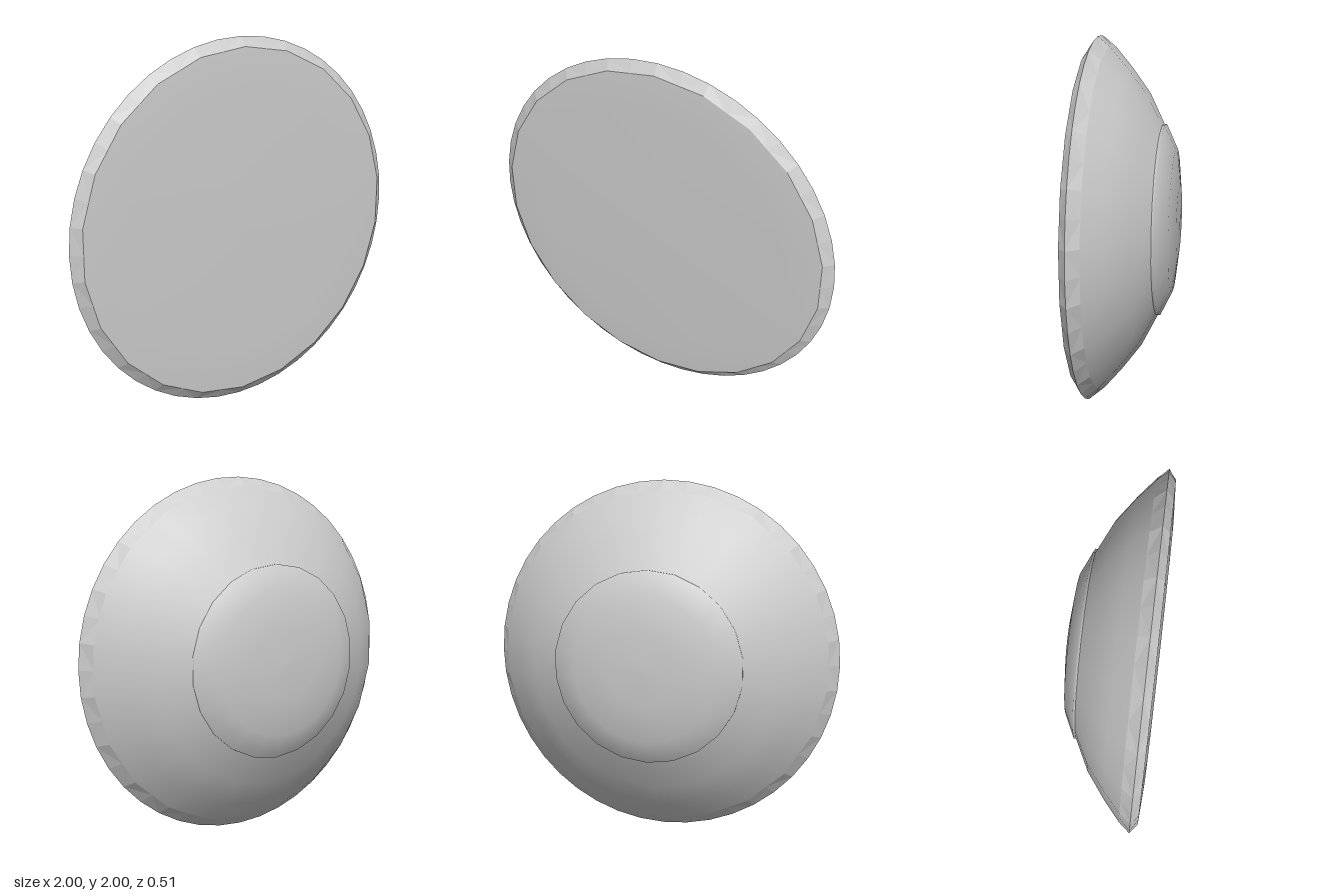
import * as THREE from 'three';

const SIDES = 22;

// Lathe around the z axis; the profile lists [radius, z] from back to front.
function turned(name, profile, material) {
  const points = profile.map(([r, z]) => new THREE.Vector2(r, z));
  const geometry = new THREE.LatheGeometry(points, SIDES);
  geometry.rotateX(Math.PI / 2);
  const mesh = new THREE.Mesh(geometry, material);
  mesh.name = name;
  return mesh;
}

// Faceted rim: the outer ring has twice the corners of the inner rings,
// whose odd points lie on the middle of each chord.
function facetedRim(material) {
  const n = SIDES * 2;
  const rows = [[0.95, 0.14, true], [1, 0.2, false], [0.95, 0.24, true]];
  const positions = [];
  const corner = (row, i) => {
    const [radius, z, chord] = rows[row];
    const r = chord && i % 2 ? radius * Math.cos(Math.PI / SIDES) : radius;
    const a = (i / n) * Math.PI * 2;
    return [r * Math.sin(a), -r * Math.cos(a), z];
  };
  for (let row = 0; row < 2; row++) {
    for (let i = 0; i < n; i++) {
      const a = corner(row, i), b = corner(row, i + 1);
      const c = corner(row + 1, i + 1), d = corner(row + 1, i);
      // alternate the diagonals for the zigzag pattern
      const tris = (i + row) % 2 ? [a, b, c, a, c, d] : [a, b, d, b, c, d];
      positions.push(...tris.flat());
    }
  }
  const geometry = new THREE.BufferGeometry();
  geometry.setAttribute('position', new THREE.Float32BufferAttribute(positions, 3));
  geometry.computeVertexNormals();
  const mesh = new THREE.Mesh(geometry, material);
  mesh.name = 'rim';
  return mesh;
}

export function createModel() {
  const smooth = new THREE.MeshStandardMaterial({ color: 0xcccccc, side: THREE.DoubleSide });
  const faceted = new THREE.MeshStandardMaterial({
    color: 0xcccccc, flatShading: true, side: THREE.DoubleSide,
  });

  const disc = new THREE.Group();
  disc.name = 'disc';
  disc.add(
    // raised cap in the middle of the back
    turned('backCap', [[0, -0.25], [0.2, -0.244], [0.4, -0.22], [0.53, -0.158], [0.53, -0.14]], smooth),
    // sloping bowl between cap and rim
    turned('backBowl', [[0.5, -0.16], [0.7, -0.06], [0.84, 0.045], [0.95, 0.14]], smooth),
    facetedRim(faceted),
    // almost flat front
    turned('frontFace', [[0.95, 0.24], [0.74, 0.252], [0, 0.256]], smooth),
  );
  disc.position.y = 1;

  const model = new THREE.Group();
  model.name = 'model';
  model.add(disc);
  return model;
}
